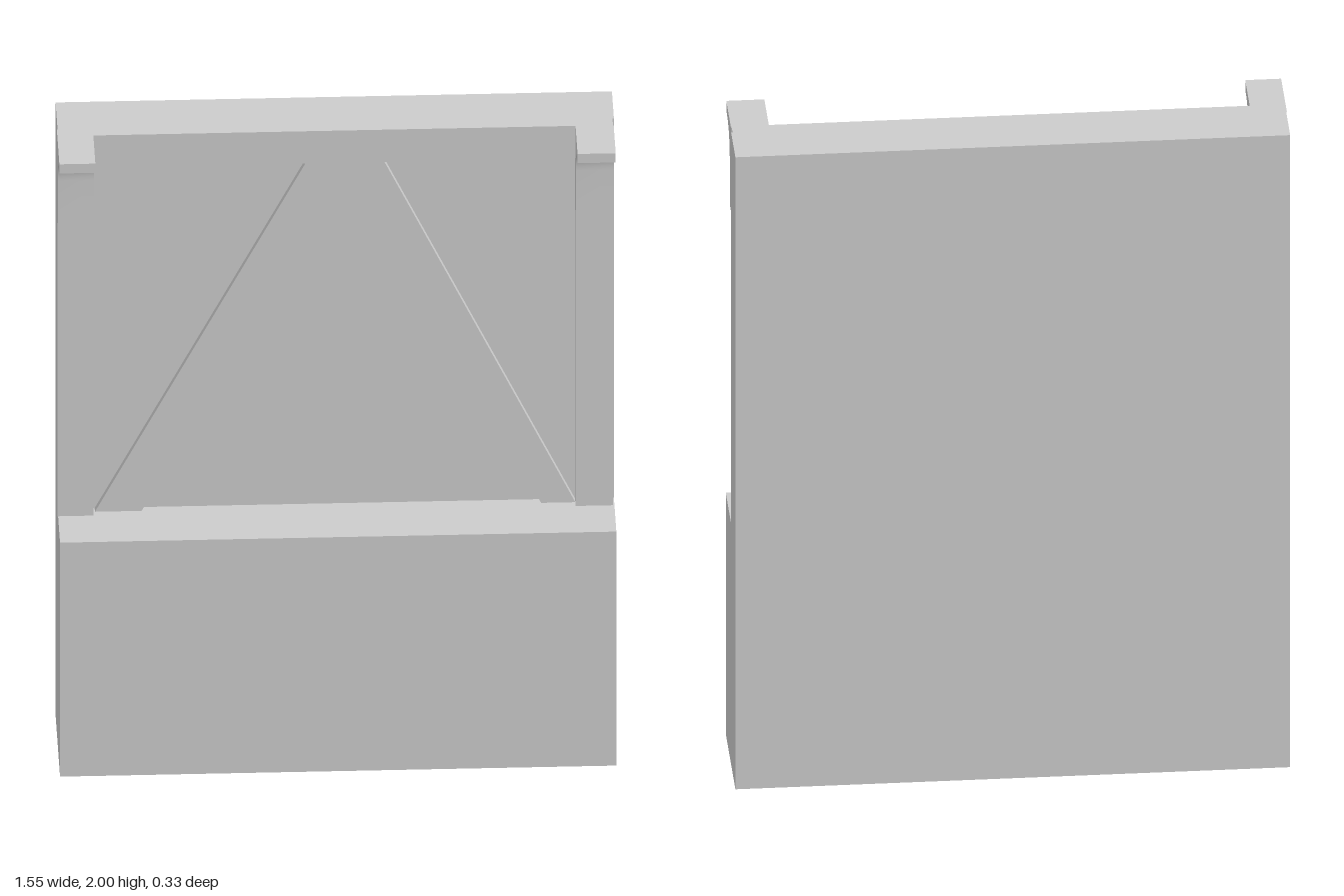
import * as THREE from 'three';
import { toCreasedNormals } from 'three/addons/utils/BufferGeometryUtils.js';

const material = new THREE.MeshStandardMaterial({ color: 0xcccccc });

export function createModel() {
  const model = new THREE.Group();
  model.name = 'timberFramedWall';

  const add = (name, geometry) => {
    const mesh = new THREE.Mesh(geometry, material);
    mesh.name = name;
    model.add(mesh);
    return mesh;
  };
  // Box given by its lower and upper corners
  const box = (name, [x0, y0, z0], [x1, y1, z1]) =>
    add(name, new THREE.BoxGeometry(x1 - x0, y1 - y0, z1 - z0))
      .position.set((x0 + x1) / 2, (y0 + y1) / 2, (z0 + z1) / 2);

  // Wall slab and the thick plinth in front of its lower part
  box('wallPanel', [-0.773, 0, -0.163], [0.773, 2, -0.02]);
  box('plinth', [-0.773, 0, -0.02], [0.773, 0.763, 0.16]);

  // Frame: two posts and the top beam
  box('rightPost', [-0.775, 0.763, -0.02], [-0.675, 2, 0.02]);
  box('leftPost', [0.665, 0.763, -0.02], [0.769, 2, 0.02]);
  box('topBeam', [-0.675, 1.895, -0.02], [0.665, 2, 0.016]);

  // Diagonal braces, meeting under the beam
  const braces = new THREE.Shape([
    [-0.67, 0.763], [-0.54, 0.763], [0.025, 1.865], [0.57, 0.763],
    [0.665, 0.763], [0.13, 1.895], [-0.08, 1.895],
  ].map(([x, y]) => new THREE.Vector2(x, y)));
  add('diagonalBraces', new THREE.ExtrudeGeometry(braces, { depth: 0.02, bevelEnabled: false }))
    .position.z = -0.02;

  // Curved corbels on the post heads: profile in (z, y), extruded across x
  const profile = new THREE.Shape();
  profile.moveTo(0.016, 1.735);
  profile.lineTo(0.05, 1.735);
  profile.lineTo(0.05, 1.875);
  profile.bezierCurveTo(0.05, 1.935, 0.09, 1.968, 0.145, 1.968);
  profile.lineTo(0.165, 1.97);
  profile.lineTo(0.165, 2);
  profile.lineTo(0.016, 2);
  profile.closePath();
  for (const [name, x0, x1] of [['rightCorbel', -0.775, -0.675], ['leftCorbel', 0.665, 0.771]]) {
    const geometry = new THREE.ExtrudeGeometry(profile, {
      depth: x1 - x0, bevelEnabled: false, curveSegments: 12,
    }).rotateY(-Math.PI / 2);
    add(name, toCreasedNormals(geometry, 0.5)).position.x = x1;
  }

  return model;
}
